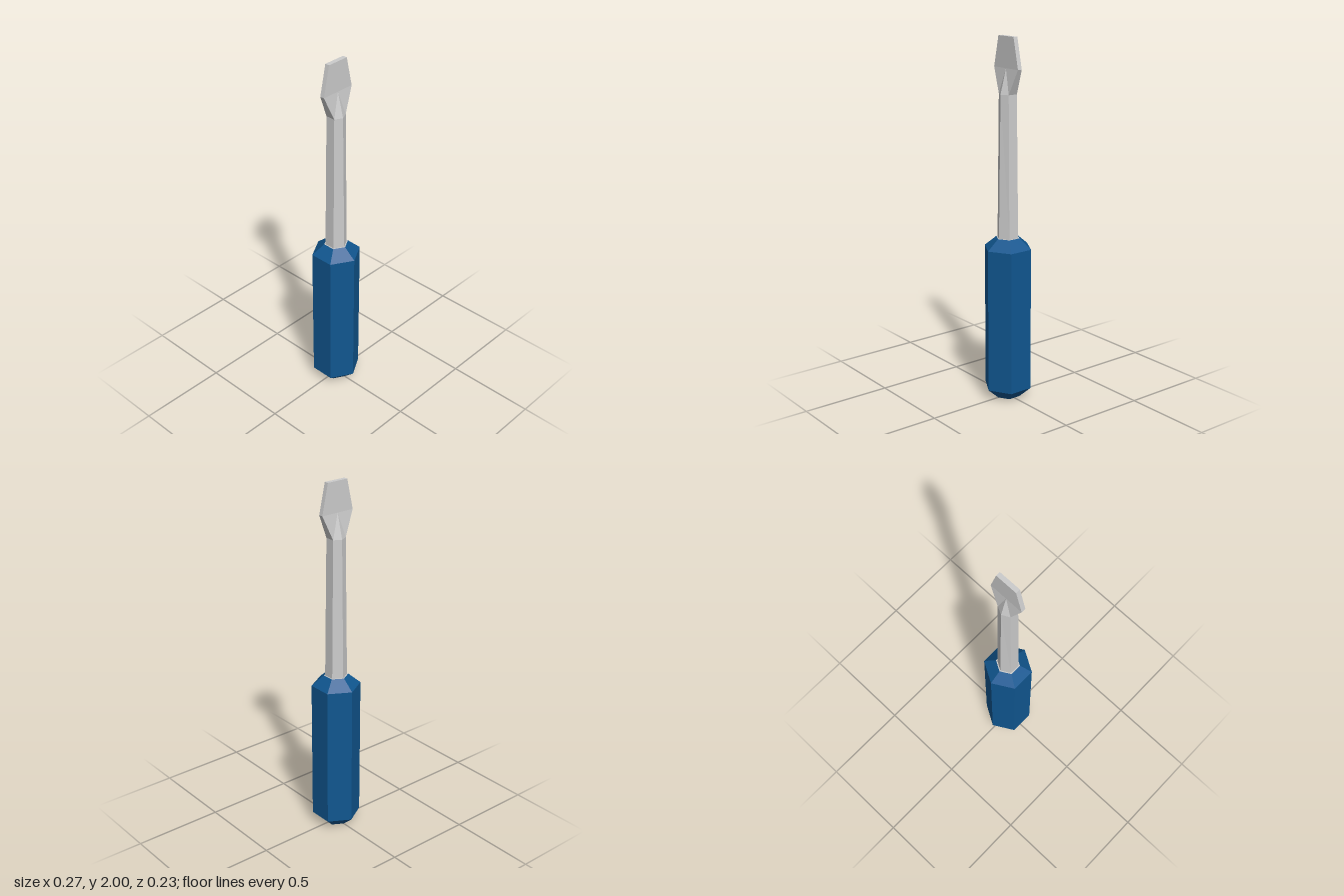
import * as THREE from 'three';

// Six-sided ring: corners at +-midX on the x axis, and at (+-x, +-z)
const ring = (y, midX, x, z) => [
  [midX, y, 0], [x, y, -z], [-x, y, -z], [-midX, y, 0], [-x, y, z], [x, y, z],
];
const hexRing = (y, r) => ring(y, r, r / 2, r * Math.sqrt(3) / 2);

// Skin a stack of six-sided rings, bottom to top, with optional top cap
function loft(rings, capTop) {
  const p = [];
  const tri = (...corners) => corners.forEach((c) => p.push(...c));
  for (let k = 0; k < rings.length - 1; k++) {
    const a = rings[k], b = rings[k + 1];
    for (let i = 0; i < 6; i++) {
      const j = (i + 1) % 6;
      if (i % 3 === 2) { // keeps the diagonals mirrored left to right
        tri(a[i], a[j], b[j]);
        tri(a[i], b[j], b[i]);
      } else {
        tri(a[i], a[j], b[i]);
        tri(a[j], b[j], b[i]);
      }
    }
  }
  if (capTop) {
    const t = rings[rings.length - 1];
    for (let i = 1; i < 5; i++) tri(t[0], t[i], t[i + 1]);
  }
  const g = new THREE.BufferGeometry();
  g.setAttribute('position', new THREE.Float32BufferAttribute(p, 3));
  g.computeVertexNormals();
  return g;
}

export function createModel() {
  const group = new THREE.Group();
  const add = (name, geometry, color) => {
    const material = new THREE.MeshStandardMaterial({ color, flatShading: true });
    const mesh = new THREE.Mesh(geometry, material);
    mesh.name = name;
    group.add(mesh);
    return mesh;
  };

  // Hexagonal grip with chamfered ends
  add('handle', loft([
    hexRing(0, 0.068), hexRing(0.06, 0.135), hexRing(0.865, 0.135), hexRing(0.922, 0.067),
  ], false), 0x10568f);

  // Dark flat end of the grip
  const end = add('handleEnd', new THREE.CircleGeometry(0.068, 6), 0x111111);
  end.rotation.x = Math.PI / 2;

  // Collar face, tapering shaft and flared flat blade
  add('shaftAndBlade', loft([
    hexRing(0.922, 0.067),
    ring(0.922, 0.06, 0.03, 0.052),
    ring(1.7, 0.048, 0.027, 0.042),
    ring(1.835, 0.0125, 0.0125, 0.1),
    ring(2, 0.0125, 0.0125, 0.063),
  ], true), 0xcccccc);

  return group;
}
